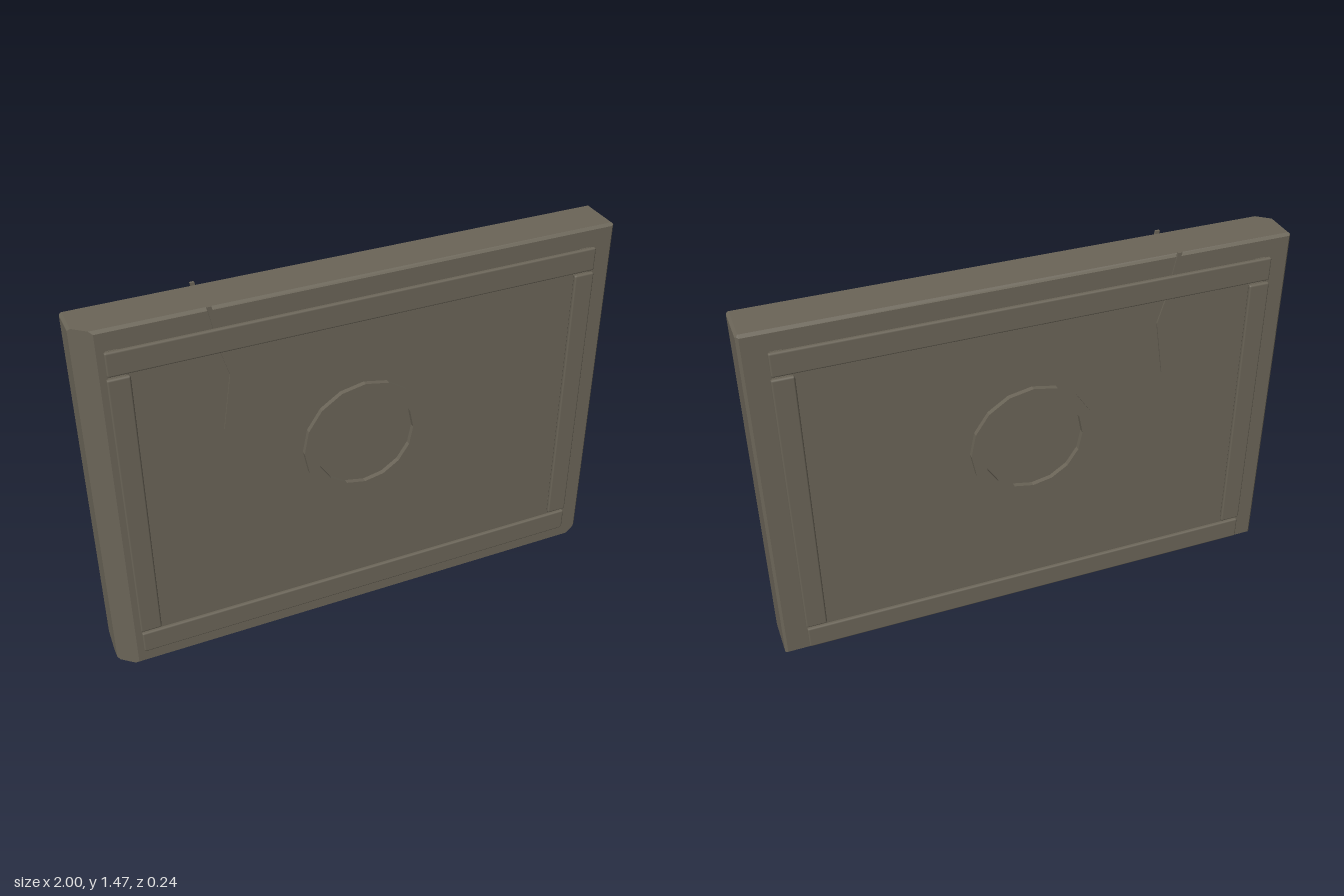
import * as THREE from 'three';
import { ConvexGeometry } from 'three/addons/geometries/ConvexGeometry.js';
import { RoundedBoxGeometry } from 'three/addons/geometries/RoundedBoxGeometry.js';

const H = 1.46, HALF_D = 0.088;

// Corner points of the solid bounded by planes [nx, ny, nz, d], n.p <= d
function solidFromPlanes(planes) {
  const found = new Map();
  const m = new THREE.Matrix3();
  for (let i = 0; i < planes.length; i++)
    for (let j = i + 1; j < planes.length; j++)
      for (let k = j + 1; k < planes.length; k++) {
        const [a, b, c] = [planes[i], planes[j], planes[k]];
        m.set(a[0], a[1], a[2], b[0], b[1], b[2], c[0], c[1], c[2]);
        if (Math.abs(m.determinant()) < 1e-6) continue;
        const p = new THREE.Vector3(a[3], b[3], c[3]).applyMatrix3(m.invert());
        if (planes.some(q => q[0] * p.x + q[1] * p.y + q[2] * p.z > q[3] + 1e-6)) continue;
        found.set(p.toArray().map(v => (Math.round(v * 1e4) + 0)).join(), p);
      }
  return new ConvexGeometry([...found.values()]);
}

// Plane through two points of a chamfer, running along the remaining axis
function slabGeometry() {
  const half = [1, H / 2, HALF_D], cy = H / 2, bevel = 0.01;
  const planes = [];
  for (let a = 0; a < 3; a++) {
    const b = (a + 1) % 3;
    for (const s of [-1, 1]) {
      const n = [0, 0, 0];
      n[a] = s;
      planes.push([...n, half[a] + n[1] * cy]);
      for (const t of [-1, 1]) {
        const e = [...n];
        e[b] = t;
        planes.push([...e, half[a] + half[b] - bevel + e[1] * cy]);
      }
    }
  }
  // Broken edges: front left upright, back of the base, right end of the base
  planes.push([-0.058, 0, 0.07, 0.058 * 0.93 + 0.07 * HALF_D]);
  planes.push([0, -0.088, -0.055, 0]);
  planes.push([1, -1, 0, 0.95]);
  return solidFromPlanes(planes);
}

export function createModel() {
  const model = new THREE.Group();
  model.name = 'stoneSlab';
  const stone = new THREE.MeshStandardMaterial({ color: 0x6b6558 });
  stone.name = 'weathered stone';

  const add = (parent, name, geometry, x = 0, y = 0, z = 0) => {
    const mesh = new THREE.Mesh(geometry, stone);
    mesh.name = name;
    mesh.position.set(x, y, z);
    parent.add(mesh);
    return mesh;
  };

  add(model, 'slab', slabGeometry());

  // Raised strip standing on a small foot at each end
  function strip(parent, name, x, y, w, h) {
    const group = new THREE.Group();
    group.name = name;
    group.position.set(x, y, 0);
    parent.add(group);
    add(group, 'stripFace', new RoundedBoxGeometry(w, h, 0.018, 1, 0.007), 0, 0, 0.111);
    const wide = w > h, foot = 0.04;
    for (const s of [-1, 1]) {
      const fx = wide ? s * (w / 2 - foot / 2 - 0.01) : 0;
      const fy = wide ? 0 : s * (h / 2 - foot / 2 - 0.01);
      const size = wide ? [foot, h - 0.02] : [w - 0.02, foot];
      add(group, 'stripFoot', new THREE.BoxGeometry(...size, 0.018), fx, fy, 0.095);
    }
  }

  // Square-section ring with flat sides
  const ringProfile = [[0.195, 0], [0.24, 0], [0.24, 0.022], [0.195, 0.022], [0.195, 0]]
    .map(p => new THREE.Vector2(...p));
  const ringGeometry = new THREE.LatheGeometry(ringProfile, 16).rotateX(Math.PI / 2).toNonIndexed();
  ringGeometry.computeVertexNormals();

  // Narrow crack running down from the top edge
  const crackPath = [[-0.55, 1.467], [-0.515, 1.29], [-0.487, 1.195], [-0.52, 0.98]];
  const crackShape = new THREE.Shape([
    ...crackPath.map(([x, y]) => new THREE.Vector2(x - 0.008, y)),
    ...crackPath.map(([x, y]) => new THREE.Vector2(x + 0.008, y)).reverse(),
  ]);
  const crackGeometry = new THREE.ExtrudeGeometry(crackShape, { depth: 0.009, bevelEnabled: false });

  // The same relief on both faces
  for (const side of ['front', 'back']) {
    const relief = new THREE.Group();
    relief.name = side + 'Relief';
    const back = side === 'back';
    if (back) relief.rotation.y = Math.PI;
    model.add(relief);
    strip(relief, 'topStrip', 0, 1.347, 1.82, 0.092);
    strip(relief, 'bottomStrip', 0, 0.127, 1.82, 0.092);
    for (const s of [-1, 1]) strip(relief, s > 0 ? 'leftStrip' : 'rightStrip', s * 0.873, 0.737, 0.08, 1.11);
    add(relief, 'ring', ringGeometry, 0, 0.795, 0.085);
    // Cracks stay at the same end of the slab on both faces
    add(model, side + 'Crack', crackGeometry, 0, 0, back ? -0.094 : 0.085);
  }
  return model;
}
